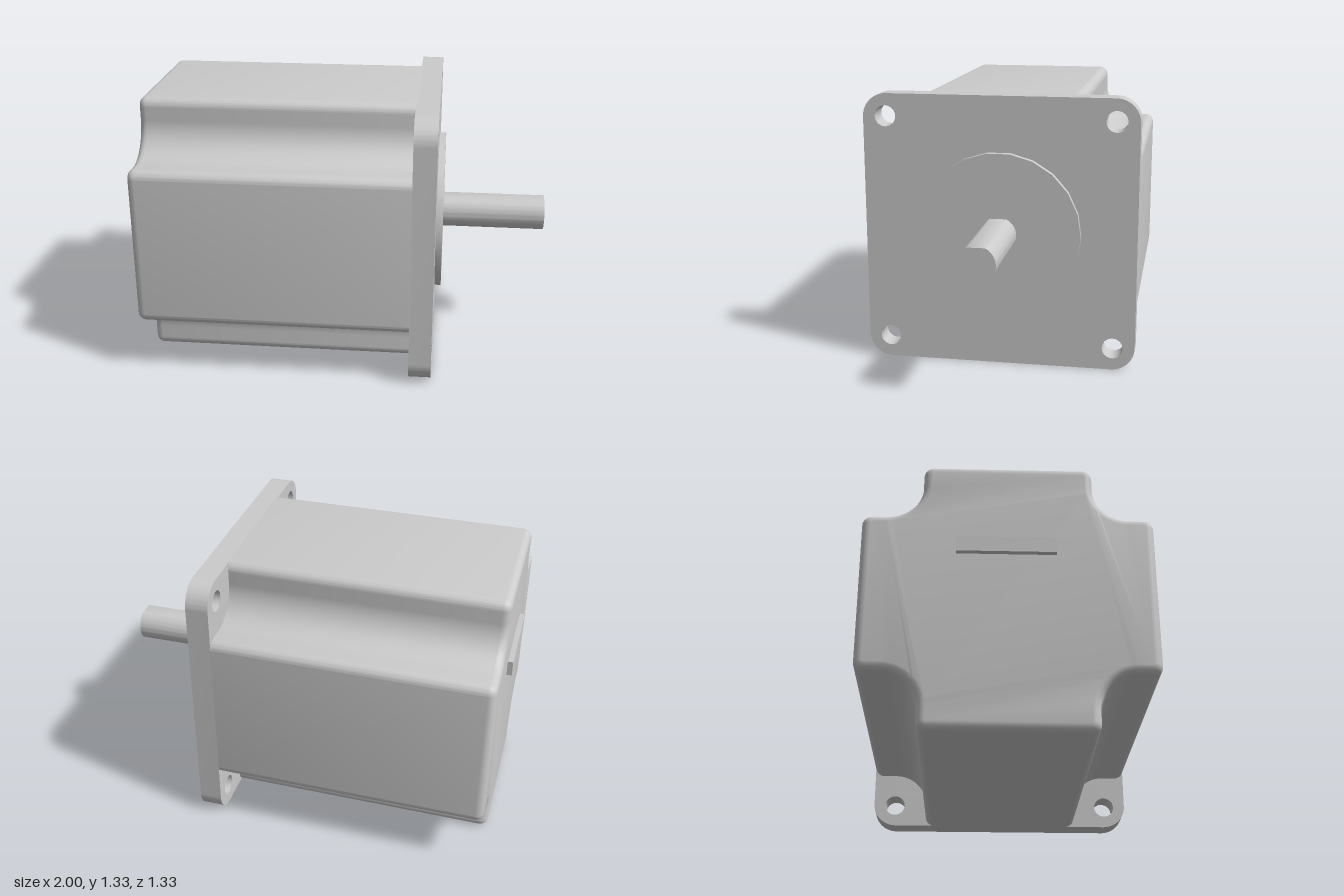
import * as THREE from 'three';
import { toCreasedNormals } from 'three/addons/utils/BufferGeometryUtils.js';

const HALF = 0.664;   // half the square section, also the height of the axis
const HOLE = 0.555;   // bolt hole offset from the axis
const material = new THREE.MeshStandardMaterial({ color: 0xcccccc });

function part(name, geometry) {
  const mesh = new THREE.Mesh(toCreasedNormals(geometry, 0.6), material);
  mesh.name = name;
  return mesh;
}

// Extrude a cross-section along x, from x0 to x1
function extrudeX(shape, x0, x1, options = {}) {
  return new THREE.ExtrudeGeometry(shape, { depth: x1 - x0, bevelEnabled: false, curveSegments: 12, ...options })
    .rotateY(Math.PI / 2).translate(x0, 0, 0);
}

// Add an arc to a path, turned by a number of quarter turns about the axis
function arc(path, turn, cx, cy, r, from, to, clockwise = false) {
  const t = turn * Math.PI / 2, c = Math.cos(t), s = Math.sin(t), d = Math.PI / 180;
  path.absarc(cx * c - cy * s, cx * s + cy * c, r, from * d + t, to * d + t, clockwise);
}

// Square section with a filleted concave channel at every corner
function bodySection() {
  const shape = new THREE.Shape(), wall = 0.39, f = 0.045;
  for (let k = 0; k < 4; k++) {
    arc(shape, k, HALF - f, wall - f, f, 0, 90);
    arc(shape, k, HOLE, HOLE, HOLE - wall, 270, 180, true);
    arc(shape, k, wall - f, HALF - f, f, 0, 90);
  }
  return shape;
}

// Rounded square plate with four bolt holes
function flangeSection() {
  const shape = new THREE.Shape(), r = 0.115;
  for (let k = 0; k < 4; k++) {
    arc(shape, k, HALF - r, HALF - r, r, 0, 90);
    const hole = new THREE.Path();
    arc(hole, k, HOLE, HOLE, 0.051, 0, 360, false);
    shape.holes.push(hole);
  }
  return shape;
}

// Round section with a flat on top
function shaftSection() {
  const shape = new THREE.Shape(), r = 0.0875, a = Math.asin(0.078 / r);
  shape.absarc(0, 0, r, Math.PI - a, 2 * Math.PI + a, false);
  shape.closePath();
  return shape;
}

export function createModel() {
  const motor = new THREE.Group();
  motor.name = 'motor';

  // Housing with a rounded rear edge; its front bevel sits inside the flange
  const bevel = 0.038;
  motor.add(part('housing', extrudeX(bodySection(), -0.975 + bevel, 0.355, {
    bevelEnabled: true, bevelThickness: bevel, bevelSize: bevel, bevelOffset: -bevel, bevelSegments: 5,
  })));

  motor.add(part('mountingFlange', extrudeX(flangeSection(), 0.348, 0.457)));

  // Pilot boss on the flange face
  motor.add(part('pilotBoss', new THREE.CylinderGeometry(0.397, 0.397, 0.06, 22)
    .rotateZ(-Math.PI / 2).translate(0.459, 0, 0)));

  motor.add(part('outputShaft', extrudeX(shaftSection(), 0.47, 1, { curveSegments: 32 })));

  // Plain raised pad on the rear face
  motor.add(part('rearPad', new THREE.BoxGeometry(0.035, 0.075, 0.45).translate(-0.9825, 0.224, -0.01)));

  motor.children.forEach((mesh) => { mesh.position.y = HALF; });
  return motor;
}
